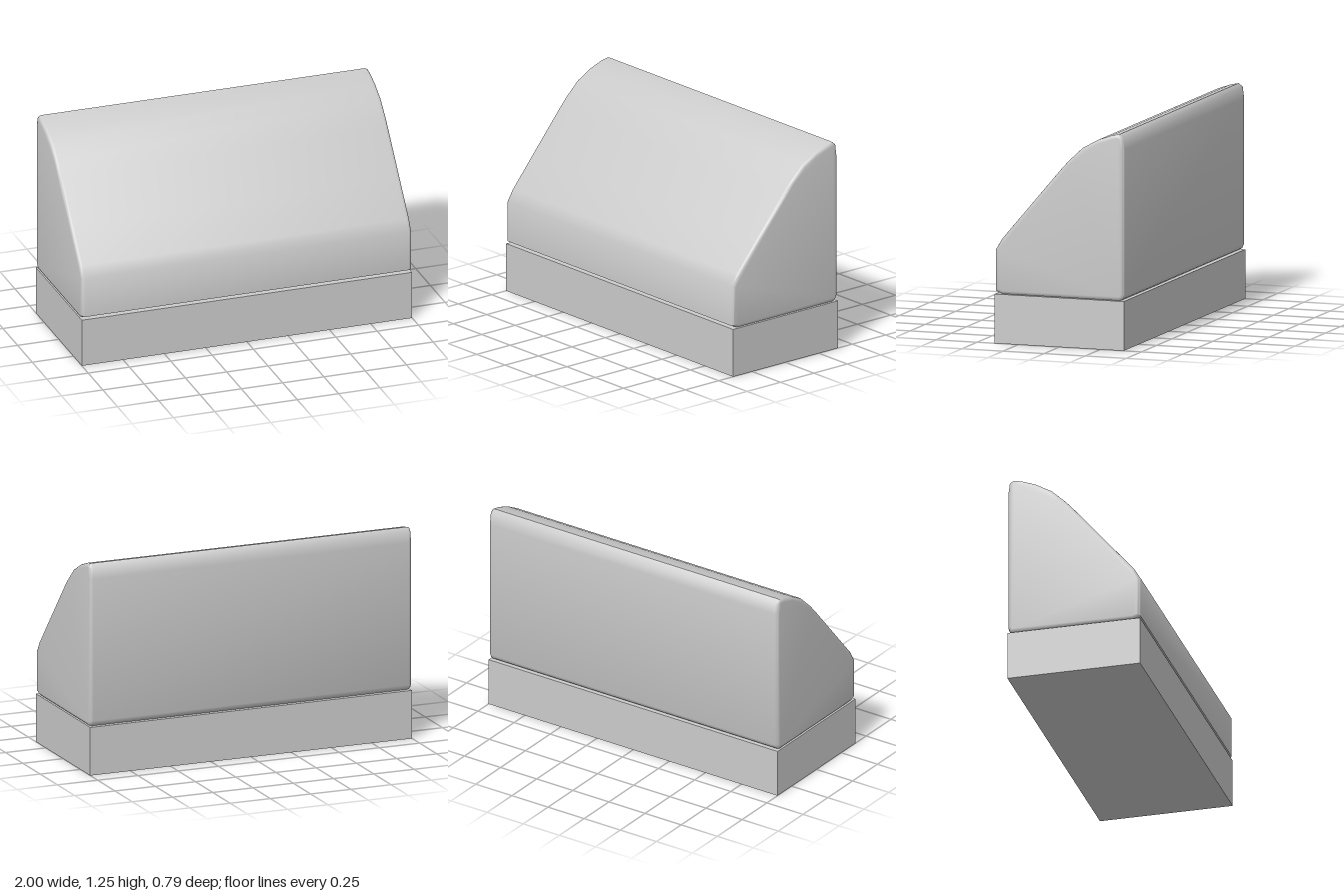
import * as THREE from 'three';
import { toCreasedNormals } from 'three/addons/utils/BufferGeometryUtils.js';

const WIDTH = 2, DEPTH = 0.785, BASE_HEIGHT = 0.285, BEVEL = 0.02;

// Side outline of the housing as (z, y)
const PROFILE = [
  [0.35, 0.285], [0.392, 0.302], [0.392, 0.54], [0.353, 0.605], [0.2, 0.785],
  [0, 1.02], [-0.05, 1.075], [-0.135, 1.155], [-0.23, 1.208], [-0.31, 1.237],
  [-0.36, 1.247], [-0.383, 1.228], [-0.392, 1.16], [-0.392, 0.32],
  [-0.382, 0.297], [-0.365, 0.285],
];

export function createModel() {
  const group = new THREE.Group();
  group.name = 'slopedHousing';
  const material = new THREE.MeshStandardMaterial({ color: 0xcccccc });

  // Rectangular plinth
  const base = new THREE.Mesh(new THREE.BoxGeometry(WIDTH, BASE_HEIGHT, DEPTH), material);
  base.name = 'base';
  base.position.y = BASE_HEIGHT / 2;
  group.add(base);

  // Sloped housing, swept across x with softly rounded ends
  const outline = new THREE.Shape(PROFILE.map(([z, y]) => new THREE.Vector2(z, y)));
  const swept = new THREE.ExtrudeGeometry(outline, {
    depth: WIDTH - 2 * BEVEL,
    bevelThickness: BEVEL,
    bevelSize: BEVEL,
    bevelOffset: -BEVEL,
    bevelSegments: 3,
  });
  swept.translate(0, 0, -(WIDTH / 2 - BEVEL));
  swept.rotateY(-Math.PI / 2);
  const housing = new THREE.Mesh(toCreasedNormals(swept, 0.8), material);
  housing.name = 'housing';
  group.add(housing);

  return group;
}
